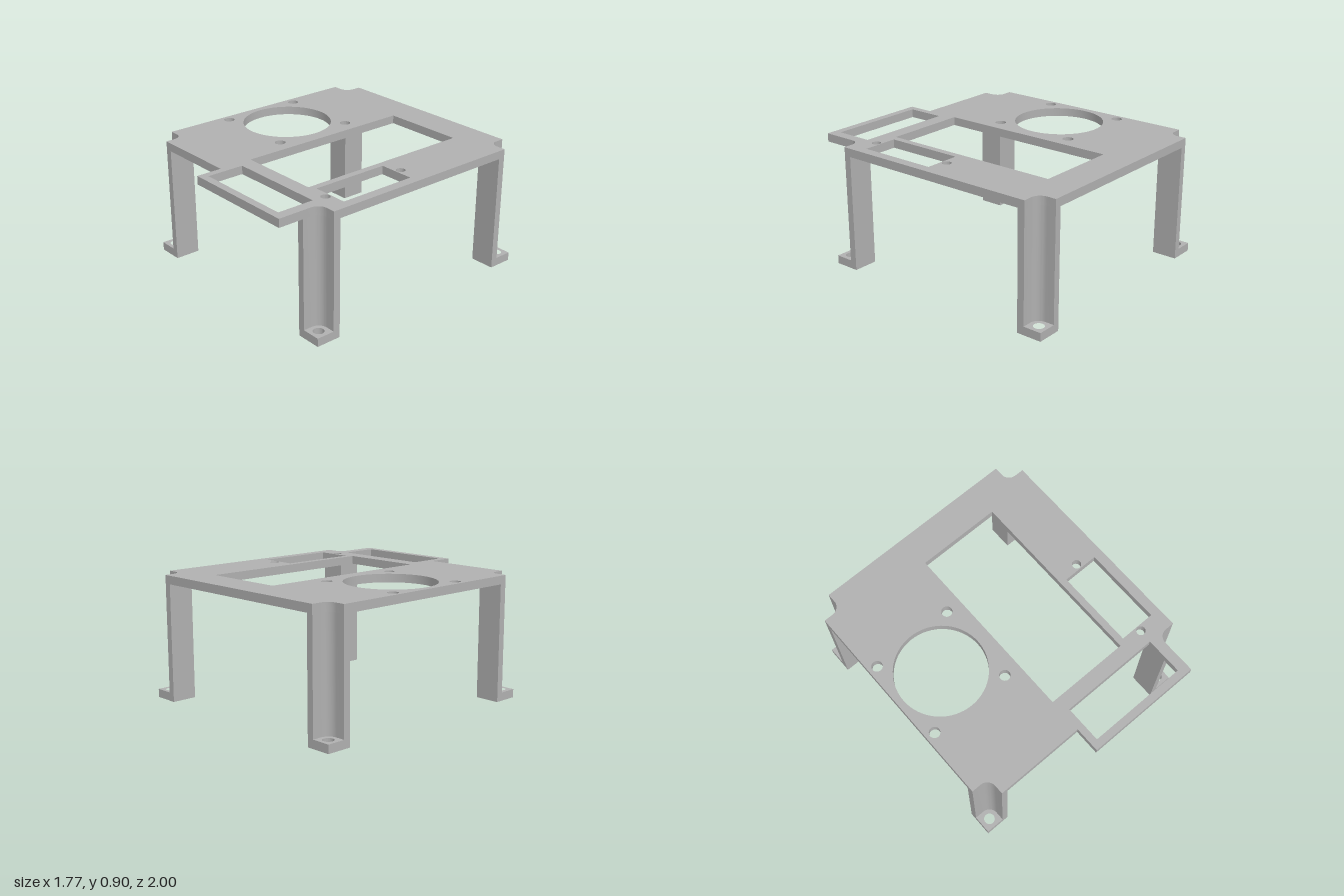
import * as THREE from 'three';
import { toCreasedNormals } from 'three/addons/utils/BufferGeometryUtils.js';

const HX = 0.885, Z0 = -1, Z1 = 0.815; // deck extents
const TOP = 0.9, T = 0.06;             // deck height, deck and foot thickness
const LEG = 0.183, NX = 0.135, NZ = 0.132, R = 0.068; // leg width, corner notch, notch radius

const shapeOf = (pts) => new THREE.Shape(pts.map(([x, z]) => new THREE.Vector2(x, z)));

const circle = (x, z, r) => new THREE.Path().absarc(x, z, r, 0, Math.PI * 2, true);

const rect = (x0, x1, z0, z1) =>
  new THREE.Path([[x0, z0], [x0, z1], [x1, z1], [x1, z0]].map(([x, z]) => new THREE.Vector2(x, z)));

// Extrudes a plan drawn in (x, z) between two heights
function slab(name, shape, y0, y1, material) {
  let geo = new THREE.ExtrudeGeometry(shape, { depth: y1 - y0, bevelEnabled: false, curveSegments: 32 });
  geo.rotateX(Math.PI / 2).translate(0, y1, 0);
  geo = toCreasedNormals(geo, 0.6);
  const mesh = new THREE.Mesh(geo, material);
  mesh.name = name;
  return mesh;
}

// Rounded notch edge at a corner, from the side edge (x outer) to the end edge (z outer)
function notch(sx, sz) {
  const place = (u, v) => [sx * (HX - u), sz > 0 ? Z1 - v : Z0 + v];
  const pts = [place(0, NZ)];
  for (let i = 0; i <= 12; i++) {
    const a = (Math.PI / 2) * (1 - i / 12);
    pts.push(place(NX - R + R * Math.cos(a), NZ - R + R * Math.sin(a)));
  }
  pts.push(place(NX, 0));
  return { pts, place };
}

export function createModel() {
  const group = new THREE.Group();
  group.name = 'mountingBracket';
  const grey = new THREE.MeshStandardMaterial({ color: 0xb0b0b0 });
  grey.name = 'grey';

  // Deck with notched corners and a front tab
  const deck = shapeOf([
    ...notch(-1, -1).pts,
    ...notch(1, -1).pts.reverse(),
    ...notch(1, 1).pts,
    [0.75, 1], [-0.1, 1], [-0.1, Z1],
    ...notch(-1, 1).pts.reverse(),
  ]);
  deck.holes.push(
    circle(-0.517, -0.08, 0.32),        // large round opening
    rect(-0.1, 0.507, -0.757, 0.57),    // main window
    rect(0.555, 0.815, -0.028, 0.543),  // side window
    rect(-0.05, 0.677, 0.677, 0.947),   // tab window
    circle(0.685, -0.068, 0.032),
    circle(0.685, 0.58, 0.032),
  );
  for (const x of [-0.82, -0.217]) for (const z of [-0.38, 0.223]) deck.holes.push(circle(x, z, 0.038));
  group.add(slab('deck', deck, TOP - T, TOP, grey));

  // Four angle legs, each on a drilled foot
  for (const sx of [-1, 1]) for (const sz of [-1, 1]) {
    const { pts, place } = notch(sx, sz);
    const label = (sz > 0 ? 'front' : 'back') + (sx > 0 ? 'Left' : 'Right');
    const leg = shapeOf([...pts, place(LEG, 0), place(LEG, LEG), place(0, LEG)]);
    group.add(slab(label + 'Leg', leg, T, TOP - T, grey));

    const foot = shapeOf([place(0, 0), place(LEG, 0), place(LEG, LEG), place(0, LEG)]);
    foot.holes.push(circle(...place(NX - R, NZ - R), 0.038));
    group.add(slab(label + 'Foot', foot, 0, T, grey));
  }
  return group;
}
